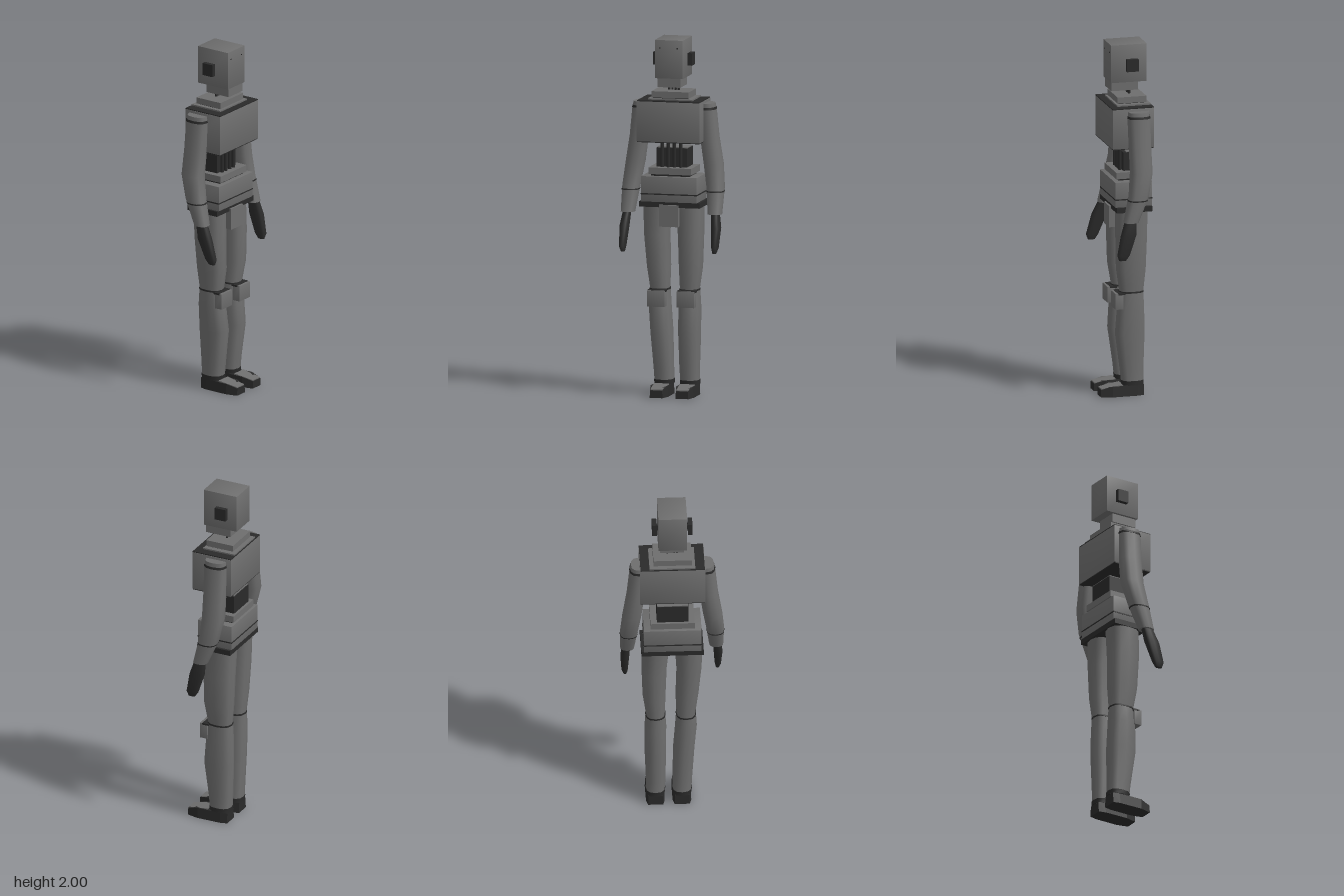
import * as THREE from 'three';

const make = (name, hex) => {
  const m = new THREE.MeshStandardMaterial({ color: hex });
  m.name = name;
  return m;
};

export function createModel() {
  const grey = make('shell grey', 0x6e6e6e);
  const dark = make('joint black', 0x2a2a2a);
  const root = new THREE.Group();

  const add = (name, geo, mat, parent = root) => {
    const mesh = new THREE.Mesh(geo, mat);
    mesh.name = name;
    parent.add(mesh);
    return mesh;
  };
  const group = (name) => {
    const g = new THREE.Group();
    g.name = name;
    root.add(g);
    return g;
  };

  // box from its limits; soft > 0 bends the corner normals outward
  const block = (name, [x0, x1], [y0, y1], [z0, z1], mat, parent, soft = 0) => {
    const geo = new THREE.BoxGeometry(x1 - x0, y1 - y0, z1 - z0);
    const p = geo.attributes.position, n = geo.attributes.normal, v = new THREE.Vector3();
    for (let i = 0; i < p.count; i++) {
      v.set(Math.sign(p.getX(i)), Math.sign(p.getY(i)), Math.sign(p.getZ(i))).multiplyScalar(soft);
      v.add(new THREE.Vector3().fromBufferAttribute(n, i)).normalize();
      n.setXYZ(i, v.x, v.y, v.z);
    }
    geo.translate((x0 + x1) / 2, (y0 + y1) / 2, (z0 + z1) / 2);
    return add(name, geo, mat, parent);
  };

  // limb skinned over rounded sections [y, x, z, rx, rz], listed from the bottom up
  const SIDES = 12;
  const limb = (name, sections, mat, parent) => {
    const pos = [], idx = [];
    const power = (t) => Math.sign(t) * Math.pow(Math.abs(t), 0.8);
    const ring = ([y, x, z, rx, rz]) => {
      const start = pos.length / 3;
      for (let j = 0; j < SIDES; j++) {
        const a = (j / SIDES) * Math.PI * 2;
        pos.push(x + rx * power(Math.cos(a)), y, z + rz * power(Math.sin(a)));
      }
      return start;
    };
    const rings = sections.map(ring);
    for (let i = 0; i + 1 < rings.length; i++) {
      for (let j = 0; j < SIDES; j++) {
        const k = (j + 1) % SIDES;
        const a = rings[i] + j, b = rings[i] + k, c = rings[i + 1] + j, d = rings[i + 1] + k;
        idx.push(a, c, b, b, c, d);
      }
    }
    const bottom = ring(sections[0]), top = ring(sections[sections.length - 1]);
    for (let j = 1; j < SIDES - 1; j++) {
      idx.push(bottom, bottom + j, bottom + j + 1, top, top + j + 1, top + j);
    }
    const geo = new THREE.BufferGeometry();
    geo.setAttribute('position', new THREE.Float32BufferAttribute(pos, 3));
    geo.setIndex(idx);
    geo.computeVertexNormals();
    return add(name, geo, mat, parent);
  };

  // thin dark seam following a limb between two heights
  const seam = (name, sections, y0, y1, parent) => {
    const at = (y) => {
      let i = 0;
      while (i < sections.length - 2 && sections[i + 1][0] < y) i++;
      const a = sections[i], b = sections[i + 1], t = (y - a[0]) / (b[0] - a[0]);
      return a.map((v, k) => v + (b[k] - v) * t + (k > 2 ? 0.002 : 0));
    };
    limb(name, [at(y0), at(y1)], dark, parent);
  };

  // vertical cable
  const cable = (name, x, z, y0, y1, r, parent) => {
    const geo = new THREE.CylinderGeometry(r, r, y1 - y0, 8);
    geo.translate(x, (y0 + y1) / 2, z);
    add(name, geo, dark, parent);
  };

  // head, ears and jaw
  const head = group('head');
  block('skull', [-0.08, 0.08], [1.785, 2], [-0.132, 0.073], grey, head, 0.3);
  for (const s of [-1, 1]) {
    const [a, b] = [s * 0.087, s * 0.112].sort((p, q) => p - q);
    block('ear', [a, b], [1.85, 1.92], [-0.077, -0.01], dark, head);
    const [c, d] = [s * 0.079, s * 0.088].sort((p, q) => p - q);
    block('earMount', [c, d], [1.87, 1.9], [-0.055, -0.03], dark, head);
    block('eyeDot', [s * 0.05 - 0.004, s * 0.05 + 0.004], [1.952, 1.958], [0.073, 0.075], dark, head);
  }
  block('jaw', [-0.065, 0.065], [1.735, 1.785], [-0.085, 0.068], grey, head);

  // neck cables and collar plates
  const neck = group('neck');
  for (const x of [-0.027, -0.009, 0.009, 0.027]) cable('neckCable', x, -0.045, 1.69, 1.79, 0.007, neck);
  block('upperCollar', [-0.107, 0.107], [1.672, 1.707], [-0.122, 0.043], grey, neck);
  block('lowerCollar', [-0.125, 0.13], [1.655, 1.668], [-0.142, 0.052], grey, neck);
  block('collarGap', [-0.1, 0.1], [1.668, 1.672], [-0.11, 0.035], dark, neck);

  // chest shell with black top and underside
  const chest = group('chest');
  block('chestShell', [-0.18, 0.182], [1.43, 1.655], [-0.146, 0.092], grey, chest, 0.25);
  block('chestTop', [-0.178, 0.18], [1.655, 1.66], [-0.146, 0.092], dark, chest);
  block('chestUnderside', [-0.178, 0.18], [1.425, 1.43], [-0.144, 0.09], dark, chest);

  // belly core with cables in front
  const belly = group('belly');
  block('bellyCore', [-0.088, 0.088], [1.28, 1.385], [-0.12, -0.01], dark, belly);
  block('bellyCap', [-0.086, 0.086], [1.385, 1.39], [-0.118, -0.012], grey, belly);
  for (const x of [-0.053, -0.018, 0.018, 0.053]) cable('bellyCable', x, 0.015, 1.27, 1.44, 0.01, belly);
  block('bellyFront', [-0.088, 0.088], [1.28, 1.385], [-0.01, 0.005], dark, belly);

  // waist, pelvis and hip band
  const pelvis = group('pelvis');
  block('waistPlate', [-0.122, 0.124], [1.243, 1.28], [-0.135, 0.055], grey, pelvis);
  block('waistGap', [-0.11, 0.11], [1.23, 1.243], [-0.12, 0.04], dark, pelvis);
  block('pelvisShell', [-0.16, 0.16], [1.09, 1.232], [-0.14, 0.07], grey, pelvis, 0.25);
  block('pelvisSeam', [-0.162, 0.162], [1.13, 1.137], [-0.142, 0.071], dark, pelvis);
  block('hipBand', [-0.172, 0.175], [1.06, 1.09], [-0.138, 0.066], dark, pelvis);
  block('groinPlate', [-0.055, 0.055], [0.953, 1.075], [0.03, 0.078], grey, pelvis);

  // foot outline, seen from above
  const outline = new THREE.Shape([
    [-0.042, 0.1], [0.042, 0.1], [0.052, 0.06], [0.053, -0.08],
    [0.037, -0.145], [-0.037, -0.145], [-0.053, -0.08], [-0.052, 0.06],
  ].reverse().map(([x, y]) => new THREE.Vector2(x, y)));
  outline.autoClose = true;

  // legs: thigh, shin, knee pad and foot
  for (const s of [-1, 1]) {
    const leg = group(s < 0 ? 'rightLeg' : 'leftLeg');
    const ankle = s < 0 ? -0.054 : 0.094;
    const knee = s < 0 ? -0.077 : 0.093;
    const shin = [
      [0.06, ankle, -0.044, 0.053, 0.062],
      [0.15, ankle - 0.003, -0.04, 0.055, 0.068],
      [0.35, (ankle + knee) / 2, -0.03, 0.06, 0.085],
      [0.5, knee, -0.035, 0.061, 0.077],
      [0.595, knee, -0.038, 0.055, 0.069],
    ];
    const thigh = [
      [0.595, knee, -0.038, 0.053, 0.069],
      [0.72, s < 0 ? -0.083 : 0.1, -0.034, 0.064, 0.085],
      [0.9, s < 0 ? -0.094 : 0.1, -0.036, 0.07, 0.09],
      [1.07, s * 0.092, -0.04, 0.078, 0.091],
    ];
    limb('shin', shin, grey, leg);
    limb('thigh', thigh, grey, leg);
    seam('kneeSeam', shin, 0.588, 0.597, leg);
    seam('ankleCuff', shin, 0.06, 0.085, leg);
    block('kneePad', [knee - 0.05, knee + 0.05], [0.5, 0.59], [0.02, 0.065], grey, leg, 0.2);
    block('kneePadEdge', [knee - 0.052, knee + 0.052], [0.582, 0.592], [0.01, 0.05], dark, leg);

    const foot = new THREE.ExtrudeGeometry(outline, { depth: 0.045, bevelEnabled: false });
    foot.rotateX(-Math.PI / 2);
    foot.translate(ankle, 0, 0);
    const p = foot.attributes.position;
    for (let i = 0; i < p.count; i++) {
      // lift the instep, pinch the toe
      if (p.getY(i) > 0.02) {
        p.setY(i, p.getZ(i) > 0.1 ? 0.042 : 0.06);
        p.setX(i, ankle + (p.getX(i) - ankle) * 0.93);
      }
    }
    foot.computeVertexNormals();
    add('foot', foot, dark, leg);

    // grey toe cover sloping down to the front
    const cover = new THREE.BoxGeometry(0.086, 0.008, 0.12);
    const q = cover.attributes.position;
    for (let i = 0; i < q.count; i++) {
      const front = q.getZ(i) > 0;
      q.setXYZ(i, ankle + q.getX(i) * (front ? 0.78 : 1), q.getY(i) + (front ? 0.044 : 0.062), q.getZ(i) + 0.082);
    }
    cover.computeVertexNormals();
    add('toeCover', cover, grey, leg);
  }

  // arms: sleeve bent at the elbow, seams and mitten hand
  for (const s of [-1, 1]) {
    const arm = group(s < 0 ? 'rightArm' : 'leftArm');
    const reach = s < 0 ? 0.012 : -0.012;
    const sleeve = [
      [1.025, s * 0.248, 0.012 + reach * 0.5, 0.04, 0.042],
      [1.17, s * 0.24, -0.035 + reach * 0.5, 0.05, 0.057],
      [1.3, s * 0.224, -0.06, 0.054, 0.064],
      [1.45, s * 0.202, -0.058, 0.052, 0.064],
      [1.6, s * 0.187, -0.056, 0.052, 0.065],
      [1.64, s * 0.185, -0.056, 0.046, 0.06],
    ];
    limb('sleeve', sleeve, grey, arm);
    seam('shoulderSeam', sleeve, 1.605, 1.618, arm);
    seam('forearmSeam', sleeve, 1.145, 1.152, arm);
    limb('hand', [
      [0.81, s * 0.258, 0.075 + reach * 1.5, 0.01, 0.02],
      [0.84, s * 0.26, 0.07 + reach * 1.5, 0.018, 0.036],
      [0.95, s * 0.26, 0.036 + reach, 0.025, 0.045],
      [1.03, s * 0.252, 0.015 + reach * 0.5, 0.022, 0.034],
    ], dark, arm);
  }
  return root;
}
